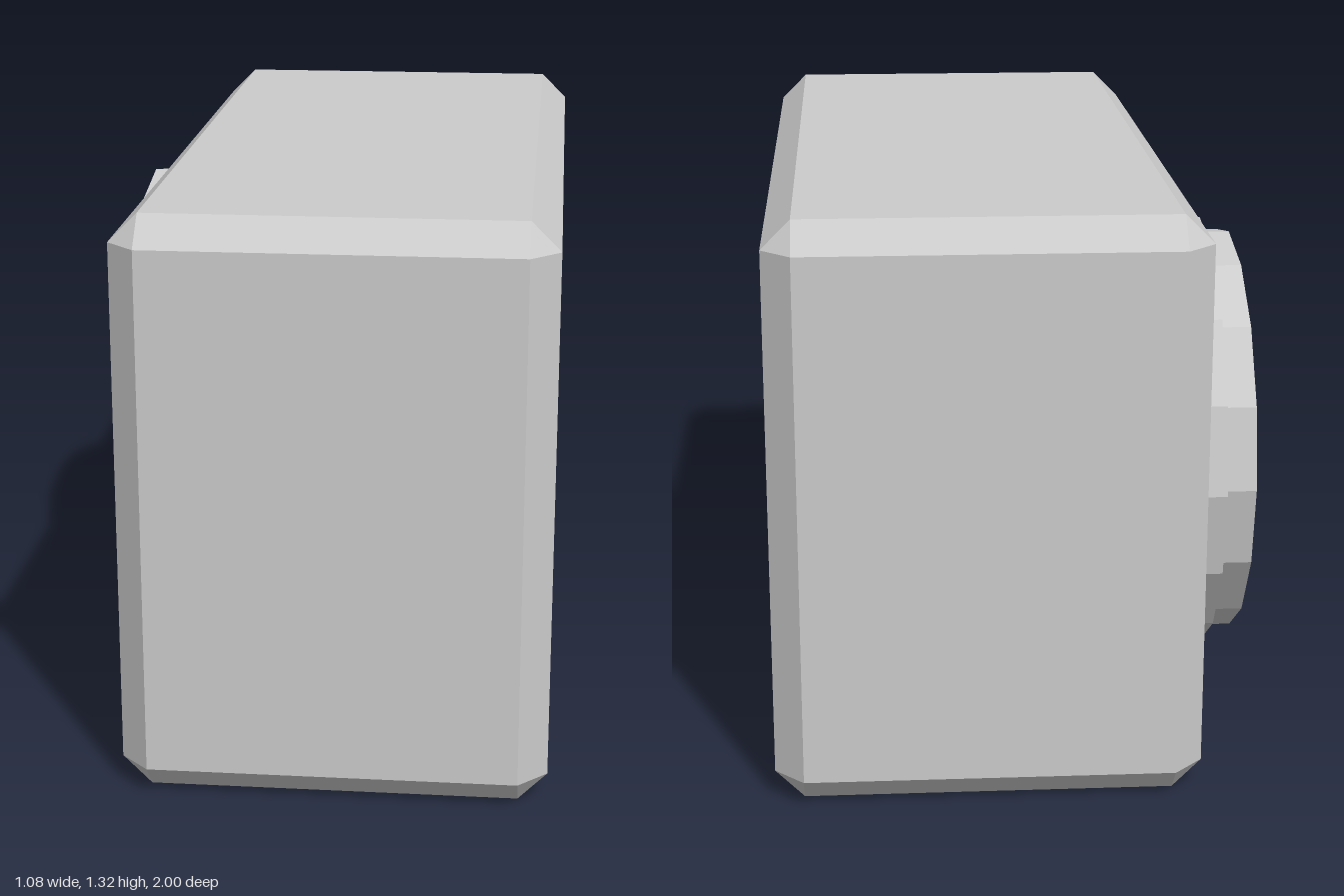
import * as THREE from 'three';
import { ConvexGeometry } from 'three/addons/geometries/ConvexGeometry.js';

const material = new THREE.MeshStandardMaterial({ color: 0xcccccc, flatShading: true });

function addMesh(parent, name, geometry, x = 0, y = 0, z = 0) {
  const mesh = new THREE.Mesh(geometry, material);
  mesh.name = name;
  mesh.position.set(x, y, z);
  parent.add(mesh);
  return mesh;
}

// Box with every edge and corner cut by an even chamfer
function chamferedBox(w, h, d, c) {
  const points = [];
  for (const x of [-w / 2, w / 2])
    for (const y of [-h / 2, h / 2])
      for (const z of [-d / 2, d / 2])
        for (let axis = 0; axis < 3; axis++) {
          const inset = [0, 1, 2].map((i) => (i === axis ? 0 : c));
          points.push(new THREE.Vector3(
            x - Math.sign(x) * inset[0],
            y - Math.sign(y) * inset[1],
            z - Math.sign(z) * inset[2]
          ));
        }
  return new ConvexGeometry(points);
}

export function createModel() {
  const model = new THREE.Group();
  model.name = 'camera';
  const face = -0.415; // x of the body side that carries the lens

  addMesh(model, 'body', chamferedBox(0.955, 1.32, 2, 0.065), 0.0625, 0.66, 0);

  // Lens: wide base disc with a narrower open rim, its axis along -x
  const lens = new THREE.Group();
  lens.name = 'lens';
  lens.position.set(face, 0.665, -0.35);
  lens.rotation.z = Math.PI / 2;
  model.add(lens);
  addMesh(lens, 'lensBase', new THREE.CylinderGeometry(0.515, 0.515, 0.055, 16), 0, 0.0275, 0);
  const rim = [[0.48, 0.05], [0.48, 0.125], [0.44, 0.125], [0.44, 0.05]]
    .map(([r, y]) => new THREE.Vector2(r, y));
  addMesh(lens, 'lensRim', new THREE.LatheGeometry(rim, 16));

  // Viewfinder: rectangular frame standing proud of the body
  const w = 0.39, h = 0.185, border = 0.032, depth = 0.04;
  const rectangle = (a, b) => [[-a, -b], [a, -b], [a, b], [-a, b]]
    .map(([x, y]) => new THREE.Vector2(x, y));
  const shape = new THREE.Shape(rectangle(w / 2, h / 2));
  shape.holes.push(new THREE.Path(rectangle(w / 2 - border, h / 2 - border).reverse()));
  const frame = new THREE.ExtrudeGeometry(shape, { depth, bevelEnabled: false });
  addMesh(model, 'viewfinderFrame', frame, face, 1.0275, 0.535).rotation.y = -Math.PI / 2;

  return model;
}
